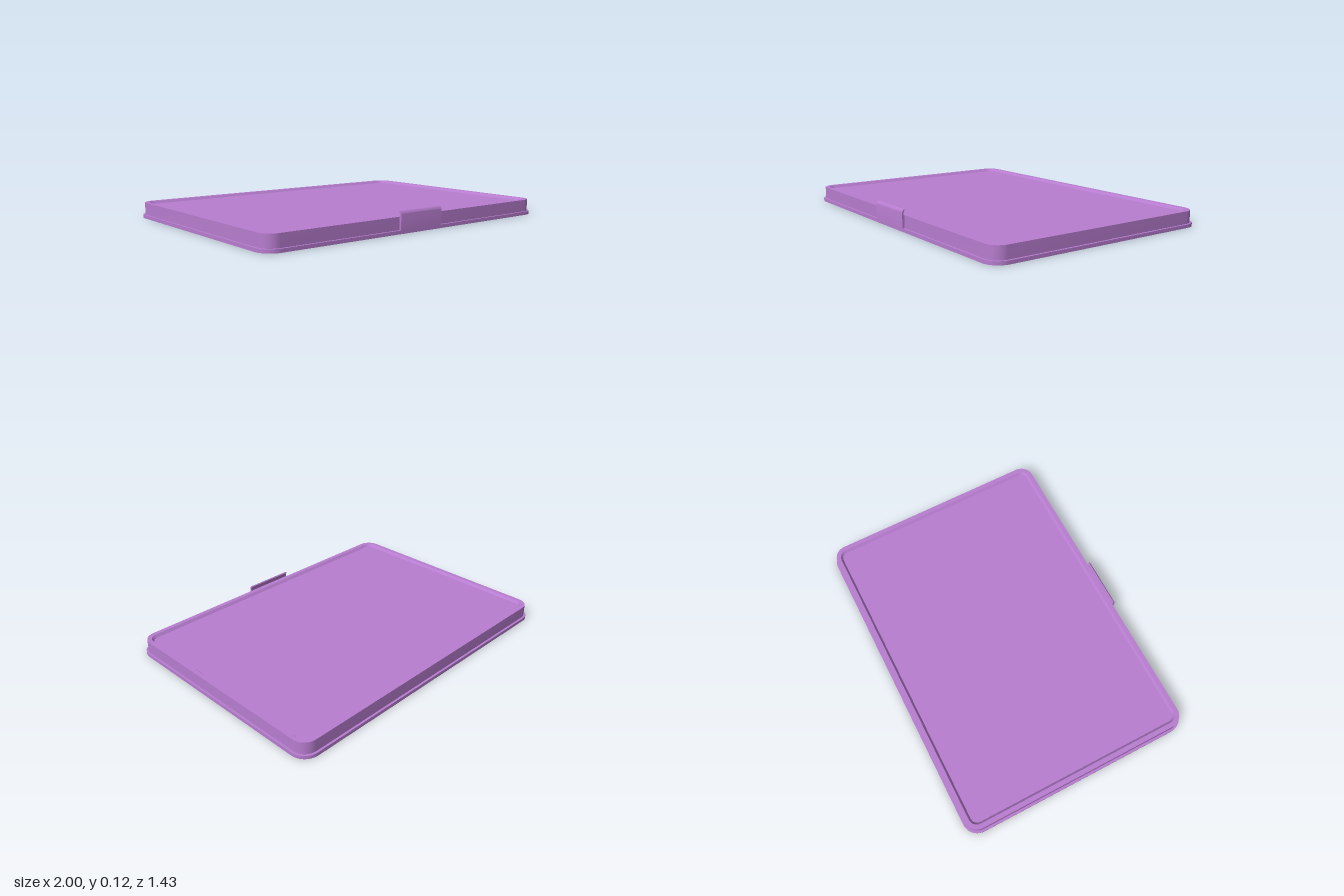
import * as THREE from 'three';
import { toCreasedNormals } from 'three/addons/utils/BufferGeometryUtils.js';

const HALF_X = 1, HALF_Z = 0.717, RADIUS = 0.092, CORNER_STEPS = 12;

// Rounded rectangle, inset from the outer footprint, at height y
function ring(inset, y) {
  const r = RADIUS - inset, points = [];
  const cx = HALF_X - RADIUS, cz = HALF_Z - RADIUS;
  [[1, 1], [-1, 1], [-1, -1], [1, -1]].forEach(([sx, sz], corner) => {
    for (let i = 0; i <= CORNER_STEPS; i++) {
      const a = (corner + i / CORNER_STEPS) * Math.PI / 2;
      points.push([sx * cx + r * Math.cos(a), y, sz * cz + r * Math.sin(a)]);
    }
  });
  return points;
}

// Skin a stack of [inset, y] rings, closing the first and last with a flat cap
function loft(profile) {
  const rings = profile.map(([inset, y]) => ring(inset, y));
  const n = rings[0].length, positions = [], index = [];
  rings.forEach((points) => points.forEach((p) => positions.push(...p)));
  for (let k = 0; k < rings.length - 1; k++) {
    for (let i = 0; i < n; i++) {
      const a = k * n + i, b = k * n + (i + 1) % n;
      index.push(a, a + n, b, b, a + n, b + n);
    }
  }
  const bottom = positions.length / 3, top = bottom + 1;
  positions.push(0, profile[0][1], 0, 0, profile[profile.length - 1][1], 0);
  const last = (rings.length - 1) * n;
  for (let i = 0; i < n; i++) {
    const j = (i + 1) % n;
    index.push(bottom, i, j, top, last + j, last + i);
  }
  const geometry = new THREE.BufferGeometry();
  geometry.setAttribute('position', new THREE.Float32BufferAttribute(positions, 3));
  geometry.setIndex(index);
  return toCreasedNormals(geometry, 0.5);
}

export function createModel() {
  const model = new THREE.Group();
  const material = new THREE.MeshStandardMaterial({ color: 0xb87dd0 });

  function add(name, geometry) {
    const mesh = new THREE.Mesh(geometry, material);
    mesh.name = name;
    model.add(mesh);
  }

  // Lid: flange, side wall, flat rim and a shallow recessed panel
  add('lid', loft([
    [0, 0], [0, 0.02],
    [0.013, 0.02], [0.013, 0.092],
    [0.04, 0.092], [0.052, 0.077],
  ]));

  // Front clip: thin upright tab with its top curled inward
  const profile = new THREE.Shape();
  profile.moveTo(0.703, 0);
  profile.lineTo(0.718, 0);
  profile.lineTo(0.718, 0.1);
  profile.quadraticCurveTo(0.718, 0.117, 0.706, 0.125);
  profile.lineTo(0.701, 0.118);
  profile.quadraticCurveTo(0.709, 0.112, 0.709, 0.1);
  profile.lineTo(0.709, 0.09);
  profile.lineTo(0.703, 0.09);
  const clip = new THREE.ExtrudeGeometry(profile, { depth: 0.305, bevelEnabled: false, curveSegments: 8 });
  clip.translate(0, 0, -0.1525);
  clip.rotateY(-Math.PI / 2);
  add('frontClip', toCreasedNormals(clip, 0.5));

  return model;
}
